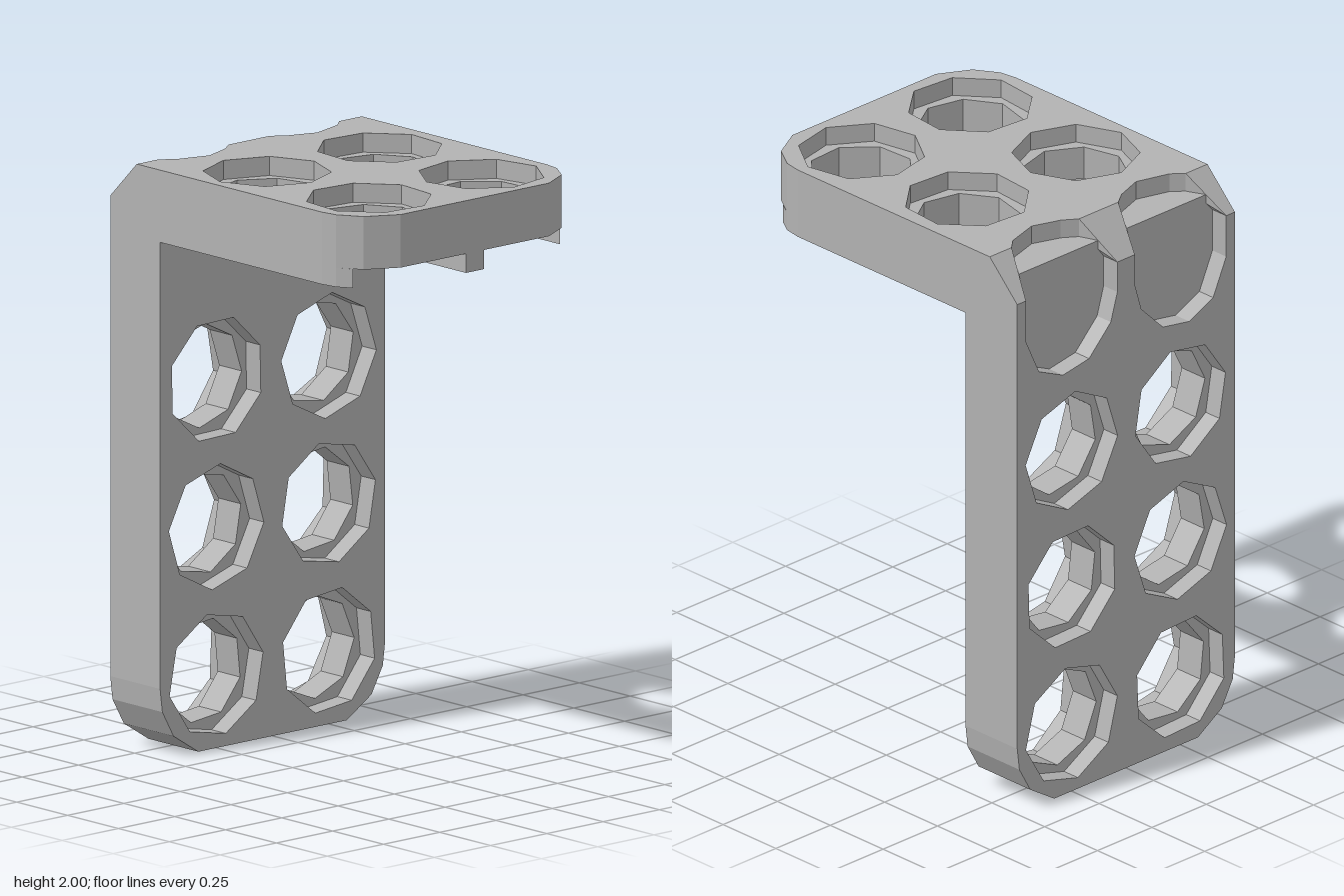
import * as THREE from 'three';
import { ConvexGeometry } from 'three/addons/geometries/ConvexGeometry.js';

const WIDE = 0.212, NARROW = 0.176, STEP = 0.065;
const COLS = [-0.25, 0.25];

// Slab cut from an outline with holes
function slab(points, holes, depth) {
  const shape = new THREE.Shape(points.map(([x, y]) => new THREE.Vector2(x, y)));
  for (const h of holes) shape.holes.push(new THREE.Path(h));
  return new THREE.ExtrudeGeometry(shape, { depth, bevelEnabled: false });
}

// Low-sided round hole, turned a little differently each time
function ring(x, y, r, turn) {
  return Array.from({ length: 8 }, (_, i) => {
    const a = turn + (i / 8) * Math.PI * 2;
    return new THREE.Vector2(x + r * Math.cos(a), y + r * Math.sin(a));
  });
}

function rings(rows, r, turn) {
  return rows.flatMap((y, j) => COLS.map((x, i) => ring(x, y, r, turn + j * 0.5 + i * 0.3)));
}

// Right half of an outline, completed by its mirror image
const mirrored = (half) => [...half, ...half.slice().reverse().map(([x, y]) => [-x, y])];

export function createModel() {
  const group = new THREE.Group();
  group.name = 'angleBracket';
  const grey = new THREE.MeshStandardMaterial({ color: 0xb2b2b2 });
  grey.name = 'light grey';

  const add = (name, geometry) => {
    const mesh = new THREE.Mesh(geometry, grey);
    mesh.name = name;
    group.add(mesh);
  };
  const upright = (name, half, holes, z, depth) => {
    add(name, slab(mirrored(half), holes, depth).translate(0, 0, z));
  };
  // Outlines for flat slabs are given as x and -z
  const flat = (name, half, holes, y, depth) => {
    add(name, slab(mirrored(half), holes, depth).rotateX(-Math.PI / 2).translate(0, y, 0));
  };

  // Upright plate: recessed front, core with through holes, recessed back
  const foot = [[0.33, 0], [0.44, 0.07], [0.49, 0.16], [0.5, 0.24]];
  const legRows = [0.25, 0.75, 1.25];
  upright('uprightFront', [...foot, [0.5, 1.755]], rings(legRows, WIDE, 0.2), -0.445, 0.07);
  upright('uprightCore', [...foot, [0.5, 1.82]], rings(legRows, NARROW, 0.5), -0.555, 0.11);
  const backNotch = [[0.46, 1.87], [0.46, 1.72], [0.40, 1.59], [0.29, 1.54],
    [0.17, 1.56], [0.07, 1.66], [0.04, 1.76], [0.04, 1.87]];
  upright('uprightBack', [...foot, [0.5, 1.87], ...backNotch], rings(legRows, WIDE, 0.35), -0.62, STEP);

  // Flat plate: underside with recesses open to the front, core, recessed top
  const nose = [[0.33, -0.62], [0.44, -0.56], [0.49, -0.48], [0.5, -0.42]];
  const armRows = [-0.375, 0.125];
  const frontNotch = [[0.04, -0.62], [0.04, -0.36], [0.09, -0.24], [0.2, -0.17],
    [0.32, -0.175], [0.42, -0.25], [0.46, -0.36], [0.46, -0.53]];
  flat('armUnderside', [...frontNotch, ...nose.slice(2), [0.5, 0.445]],
    rings([armRows[1]], WIDE, 0.1), 1.755, STEP);
  flat('armCore', [...nose, [0.5, 0.555]], rings(armRows, NARROW, 0.15), 1.82, 0.115);
  const topNotch = [[0.4, 0.49], [0.36, 0.455], [0.24, 0.42], [0.14, 0.455], [0.09, 0.49]];
  flat('armTop', [...nose, [0.5, 0.49], ...topNotch], rings(armRows, WIDE, 0.3), 1.935, STEP);

  // Bevelled ribs across the outer corner, wider towards the top
  const rib = (name, low, high) => {
    const points = [];
    for (const x of low) points.push(new THREE.Vector3(x, 1.87, -0.62), new THREE.Vector3(x, 1.87, -0.555));
    for (const x of high) points.push(new THREE.Vector3(x, 2, -0.49), new THREE.Vector3(x, 1.935, -0.49));
    add(name, new ConvexGeometry(points));
  };
  rib('middleCornerRib', [-0.04, 0.04], [-0.09, 0.09]);
  rib('leftCornerRib', [0.46, 0.5], [0.4, 0.5]);
  rib('rightCornerRib', [-0.5, -0.46], [-0.5, -0.4]);

  return group;
}
